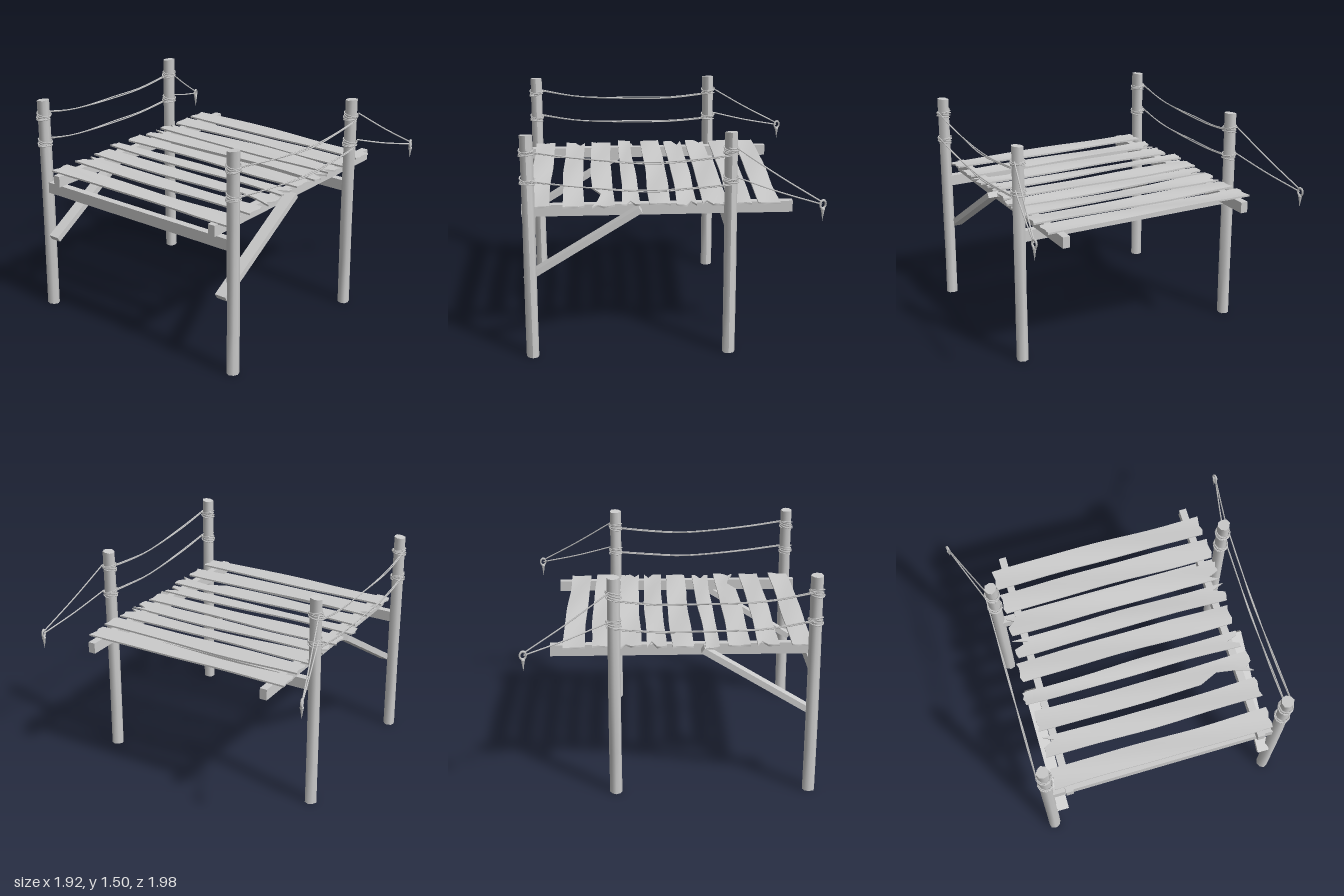
import * as THREE from 'three';

const wood = new THREE.MeshStandardMaterial({ color: 0xcccccc });
const V = (x, y, z) => new THREE.Vector3(x, y, z);

let seed = 7;
const rand = (a) => {
  seed = (seed * 16807) % 2147483647;
  return (seed / 2147483647 * 2 - 1) * a;
};

function add(parent, name, geometry) {
  const mesh = new THREE.Mesh(geometry, wood);
  mesh.name = name;
  parent.add(mesh);
  return mesh;
}

function beam(parent, name, x0, x1, y0, y1, z0, z1) {
  const mesh = add(parent, name, new THREE.BoxGeometry(x1 - x0, y1 - y0, z1 - z0));
  mesh.position.set((x0 + x1) / 2, (y0 + y1) / 2, (z0 + z1) / 2);
}

function rope(parent, name, points, radius = 0.005, steps = 14) {
  return add(parent, name, new THREE.TubeGeometry(new THREE.CatmullRomCurve3(points), steps, radius, 5));
}

// Slightly irregular round post, its top cut at a slant
function post(parent, x, z) {
  const H = 1.5;
  const geo = new THREE.CylinderGeometry(0.041, 0.041, H, 8, 5);
  const p = geo.attributes.position;
  const phase = rand(3);
  for (let i = 0; i < p.count; i++) {
    const px = p.getX(i), y = p.getY(i), pz = p.getZ(i);
    const k = 1 + 0.06 * Math.sin(3 * Math.atan2(pz, px) + y * 3 + phase);
    const slant = y > H / 2 - 0.01 ? -0.006 + 0.12 * pz : 0;
    p.setXYZ(i, px * k, y + slant, pz * k);
  }
  geo.computeVertexNormals();
  add(parent, 'post', geo).position.set(x, H / 2, z);
}

// Rope wound around a post: a few tilted turns
function wrap(parent, x, y, z) {
  const points = [];
  const turns = 4, per = 10, tilt = rand(0.15), phase = rand(3);
  for (let i = 0; i <= turns * per; i++) {
    const a = i / per * Math.PI * 2 + phase;
    const r = 0.047 + 0.003 * Math.sin(a * 0.7);
    const h = (i / (turns * per) - 0.5) * 0.045 + Math.sin(a * 1.15) * 0.008;
    points.push(V(x + Math.cos(a) * r, y + h + Math.cos(a) * r * tilt, z + Math.sin(a) * r));
  }
  rope(parent, 'ropeWrap', points, 0.0045, turns * per);
}

// Warped plank; notches = [end (-1 back, 1 front), column 0..4, depth]
function plank(parent, { x, w, z0, z1, notches = [], bite, taper = 0 }) {
  const L = z1 - z0, T = 0.012, COLS = 4, ROWS = 12;
  const geo = new THREE.BoxGeometry(w, T, L, COLS, 1, ROWS);
  const p = geo.attributes.position;
  const a = rand(3), b = rand(3), twist = rand(0.06);
  for (let i = 0; i < p.count; i++) {
    const u = p.getX(i) / w, v = p.getZ(i) / L;
    const col = Math.round((u + 0.5) * COLS);
    let px = x + u * w * (1 + taper * v) + 0.005 * Math.sin(v * 6 + a) + 0.004 * u * Math.sin(v * 13 + b);
    let pz = (z0 + z1) / 2 + v * L;
    const py = 1.006 + p.getY(i) + u * w * twist * Math.sin(v * 4 + a)
      + 0.004 * Math.sin(v * 7 + b + u * 3);
    // ragged and split ends
    if (Math.abs(v) > 0.49) {
      const end = Math.sign(v);
      pz -= end * 0.007 * (1 + Math.sin(col * 2.3 + a));
      for (const [e, c, d] of notches) if (e === end && c === col) pz -= end * d;
    }
    // broken piece missing from the left edge
    if (bite) {
      const depth = Math.max(0, 1 - Math.abs(pz - bite[0]) / 0.16) * bite[1];
      px += depth * (0.5 - u);
    }
    p.setXYZ(i, px, py, pz);
  }
  geo.computeVertexNormals();
  add(parent, 'plank', geo);
}

// Rope loop ending in a pointed, knotted tail
function ropeEnd(parent, x, y, z) {
  const g = new THREE.Group();
  g.name = 'ropeEnd';
  const loop = add(g, 'loop', new THREE.TorusGeometry(0.02, 0.0065, 5, 12));
  loop.scale.set(1, 1.3, 1.2);
  loop.rotation.y = 0.3;
  add(g, 'knot', new THREE.SphereGeometry(0.014, 7, 5)).position.y = -0.032;
  const tail = add(g, 'tail', new THREE.ConeGeometry(0.013, 0.08, 6));
  tail.rotation.x = Math.PI;
  tail.position.y = -0.07;
  g.position.set(x, y, z);
  parent.add(g);
}

export function createModel() {
  const model = new THREE.Group();
  model.name = 'woodenPlatform';
  const XL = -0.91, XR = 0.37;

  // Deck boards
  const deck = new THREE.Group();
  deck.name = 'deck';
  model.add(deck);
  [
    { x: -0.85, w: 0.14, z0: -0.725, z1: 0.785 },
    { x: -0.63, w: 0.135, z0: -0.725, z1: 0.785, notches: [[-1, 3, 0.08]] },
    { x: -0.44, w: 0.14, z0: -0.725, z1: 0.79, bite: [0.58, 0.075], notches: [[1, 1, 0.03]] },
    { x: -0.26, w: 0.1, z0: -0.765, z1: 0.765, taper: 0.3, notches: [[1, 2, 0.09]] },
    { x: -0.07, w: 0.14, z0: -0.745, z1: 0.765 },
    { x: 0.1, w: 0.125, z0: -0.73, z1: 0.785, notches: [[-1, 3, 0.09], [1, 3, 0.07]] },
    { x: 0.267, w: 0.135, z0: -0.73, z1: 0.785, notches: [[-1, 3, 0.04], [1, 1, 0.07]] },
    { x: 0.445, w: 0.145, z0: -0.725, z1: 0.785 },
    { x: 0.63, w: 0.14, z0: -0.735, z1: 0.775 },
  ].forEach((o) => plank(deck, o));

  // Crossbeams joining front and back posts
  beam(model, 'crossBeam', -0.93, -0.88, 0.845, 0.92, -0.755, 0.81);
  beam(model, 'crossBeam', 0.34, 0.39, 0.845, 0.92, -0.755, 0.81);

  // Two sides: post z, beam z range, brace z range, rope end z
  const sides = [
    { s: 1, pz: 0.822, beamZ: [0.665, 0.715], braceZ: [0.715, 0.795], endZ: 0.975 },
    { s: -1, pz: -0.778, beamZ: [-0.66, -0.61], braceZ: [-0.74, -0.66], endZ: -0.982 },
  ];
  for (const { s, pz, beamZ, braceZ, endZ } of sides) {
    beam(model, 'sideBeam', -0.96, 0.785, 0.925, 1.0, ...beamZ);

    // Diagonal brace
    const brace = add(model, 'brace', new THREE.BoxGeometry(0.875, 0.04, braceZ[1] - braceZ[0]));
    brace.position.set(-0.573, 0.751, (braceZ[0] + braceZ[1]) / 2);
    brace.rotation.z = Math.atan2(0.458, 0.745);

    post(model, XL, pz);
    post(model, XR, pz);

    // Hand ropes: [y at left post, lowest y, y at right post, y where the stay starts]
    const rz = pz + s * 0.045;
    const rails = [[1.4, 1.32, 1.355, 1.4], [1.21, 1.138, 1.165, 1.21]];
    rails.forEach(([yl, ym, yr, ys], i) => {
      wrap(model, XL, yl - 0.015, pz);
      wrap(model, XR, ys - 0.02, pz);
      const d = s * 0.006;
      for (const strand of [-1, 1]) {
        const o = strand * 0.004;
        rope(model, 'handRope', [
          V(XL, yl + o, rz), V(-0.6, (yl * 0.35 + ym * 0.65) + d + o * 0.5, rz + o),
          V(-0.15, ym - d + o, rz - o), V(0.1, ym + 0.006 + o, rz), V(XR, yr + o, rz),
        ], 0.0042);
      }
      // Stay rope running out to the knotted end
      const end = V(0.925, 1.075 - i * 0.015, endZ);
      const start = V(XR + 0.03, ys, rz - s * 0.01);
      const mid = start.clone().lerp(end, 0.5);
      mid.y -= 0.008;
      rope(model, 'stayRope', [start, mid, end], 0.005, 8);
    });
    ropeEnd(model, 0.93, 1.06, endZ);
  }
  return model;
}
